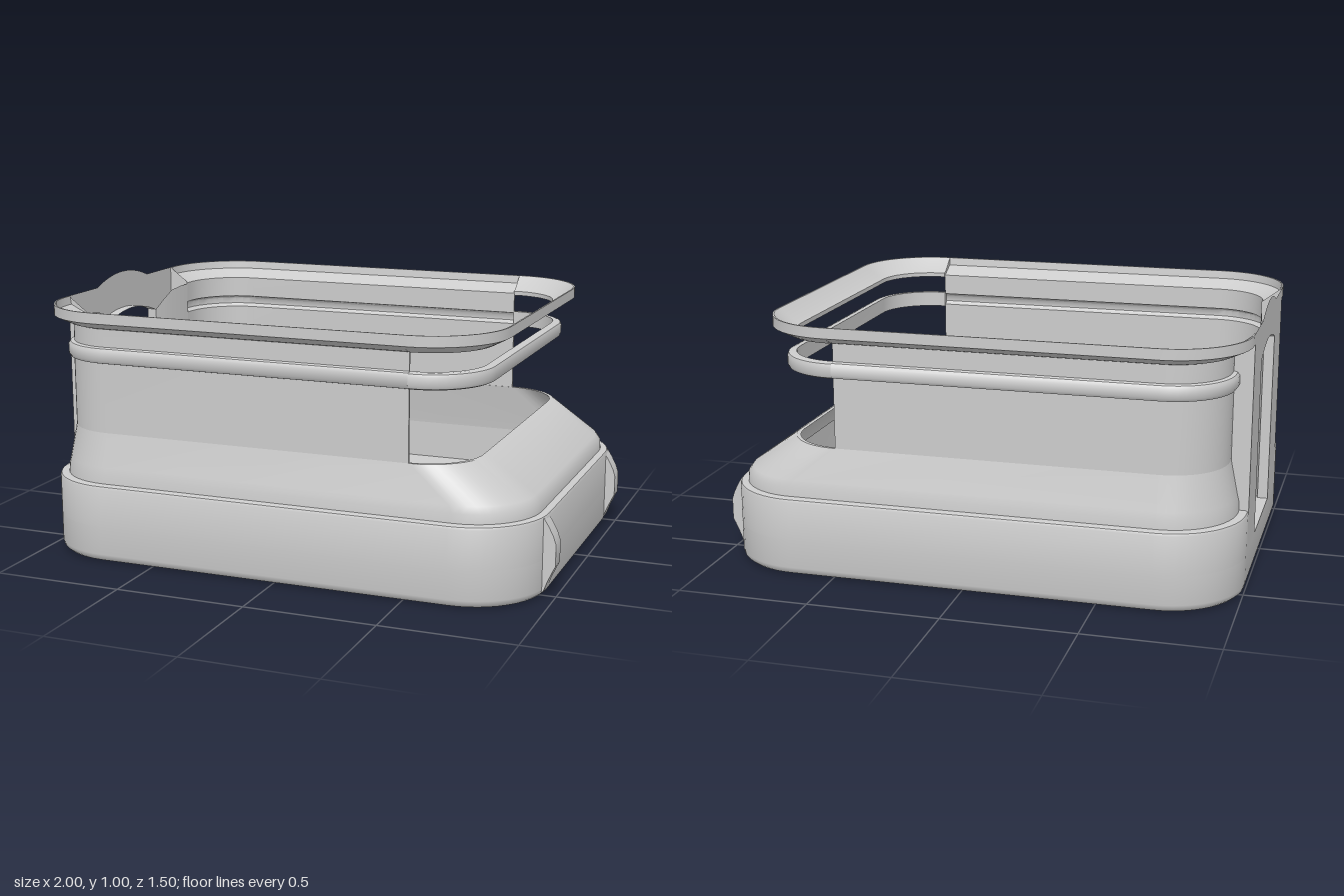
import * as THREE from 'three';
import { toCreasedNormals } from 'three/addons/utils/BufferGeometryUtils.js';

const GAP = 0.43; // half width of the flat back panel
const SPLIT = 0.5; // x where the side walls stop and the front opening begins
const material = new THREE.MeshStandardMaterial({ color: 0xcccccc, side: THREE.DoubleSide });

// Rounded outline inset by o, running from the back round by +z to -z.
// span: 'full' (open at the back panel), 'side' (+z, back to SPLIT) or 'front'.
function outline(o, x1, span) {
  const x0 = -1 + o, hz = 0.75 - o, r = 0.29 - o, n = 12;
  const pts = [];
  const arc = (cx, cz, from) => {
    for (let i = 0; i <= n; i++) {
      const a = from - (i / n) * Math.PI / 2;
      pts.push([cx + r * Math.cos(a), cz + r * Math.sin(a)]);
    }
  };
  if (span === 'front') pts.push([SPLIT, hz]);
  else {
    pts.push([x0, GAP]);
    arc(x0 + r, hz - r, Math.PI);
  }
  if (span === 'side') {
    pts.push([SPLIT, hz]);
    return pts;
  }
  arc(x1 - r, hz - r, Math.PI / 2);
  arc(x1 - r, -hz + r, 0);
  if (span === 'front') pts.push([SPLIT, -hz]);
  else {
    arc(x0 + r, -hz + r, -Math.PI / 2);
    pts.push([x0, -GAP]);
  }
  return pts;
}

// Sweeps a closed profile of [inset, y, frontX] points along the outline.
function sweep(profile, span, { mirror = false, closed = false } = {}) {
  const rails = profile.map(([o, , x1]) => {
    const p = outline(o, x1, span);
    return mirror ? p.map(([x, z]) => [x, -z]).reverse() : p;
  });
  const m = profile.length, n = rails[0].length;
  const pos = [], idx = [];
  for (let i = 0; i < n; i++)
    for (let j = 0; j < m; j++) pos.push(rails[j][i][0], profile[j][1], rails[j][i][1]);
  for (let i = 0; i < (closed ? n : n - 1); i++)
    for (let j = 0; j < m; j++) {
      const i2 = (i + 1) % n, k = (j + 1) % m;
      const a = i * m + j, b = i * m + k, c = i2 * m + j, d = i2 * m + k;
      idx.push(a, c, d, a, d, b);
    }
  if (!closed) {
    const contour = profile.map(([o, y]) => new THREE.Vector2(-o, y));
    const e = (n - 1) * m;
    for (const [a, b, c] of THREE.ShapeUtils.triangulateShape(contour, []))
      idx.push(a, b, c, e + a, e + c, e + b);
  }
  return finish(pos, idx);
}

// Thin sheet between two rails of [x, y, z] points.
function strip(a, b) {
  const idx = [];
  for (let i = 0; i < a.length - 1; i++) {
    const j = i + a.length;
    idx.push(i, i + 1, j + 1, i, j + 1, j);
  }
  return finish([...a, ...b].flat(), idx);
}

function finish(pos, idx) {
  const g = new THREE.BufferGeometry();
  g.setAttribute('position', new THREE.Float32BufferAttribute(pos, 3));
  g.setIndex(idx);
  return toCreasedNormals(g, 0.65);
}

export function createModel() {
  const group = new THREE.Group();
  const add = (name, geometry) => {
    const mesh = new THREE.Mesh(geometry, material);
    mesh.name = name;
    group.add(mesh);
  };

  // Pan with a rounded lower edge, filled by a thick floor
  add('pan', sweep([
    [0.03, 0, 0.93], [0.015, 0.004, 0.945], [0.004, 0.014, 0.956], [0, 0.03, 0.96],
    [0, 0.14, 0.96], [0.03, 0.14, 0.93],
  ], 'full', { closed: true }));
  const floorShape = new THREE.Shape(outline(0.03, 0.93, 'full').map(([x, z]) => new THREE.Vector2(x, -z)));
  const floor = new THREE.ExtrudeGeometry(floorShape, { depth: 0.14, bevelEnabled: false });
  floor.rotateX(-Math.PI / 2);
  add('floor', toCreasedNormals(floor, 0.5));

  // Upper part of the tub wall with a small ledge
  add('baseWall', sweep([
    [0, 0.14, 0.96], [0, 0.288, 0.96], [0.004, 0.297, 0.956], [0.012, 0.3, 0.948],
    [0.045, 0.3, 0.915], [0.045, 0.14, 0.915],
  ], 'full'));

  // Tapering shoulder with a long slope at the front
  add('shoulder', sweep([
    [0.034, 0.295, 0.93], [0.037, 0.335, 0.927], [0.043, 0.36, 0.908], [0.07, 0.49, 0.725],
    [0.082, 0.49, 0.71], [0.058, 0.35, 0.89], [0.05, 0.295, 0.905],
  ], 'full'));

  // Side walls: one thin skin bulging into the rail and flaring into the rim
  const skin = [
    [0.07, 0.485], [0.07, 0.757], [0.058, 0.76], [0.05, 0.772], [0.05, 0.805], [0.058, 0.816],
    [0.072, 0.82], [0.072, 0.888], [0.058, 0.892], [0, 0.92], [0, 0.96],
    [0.006, 0.96], [0.01, 0.928], [0.062, 0.902], [0.08, 0.895],
    [0.08, 0.812], [0.066, 0.808], [0.06, 0.8], [0.06, 0.777], [0.066, 0.77], [0.08, 0.765], [0.08, 0.485],
  ];
  add('leftWall', sweep(skin, 'side'));
  add('rightWall', sweep(skin, 'side', { mirror: true }));

  // Rail and rim bars bridging the front opening
  add('frontRail', sweep([
    [0.085, 0.757, 0.715], [0.066, 0.757, 0.734], [0.055, 0.762, 0.745], [0.05, 0.774, 0.75],
    [0.05, 0.803, 0.75], [0.055, 0.814, 0.745], [0.066, 0.818, 0.734], [0.085, 0.818, 0.715],
  ], 'front'));
  add('frontRim', sweep([
    [0.088, 0.888, 0.712], [0.058, 0.89, 0.742], [0, 0.92, 0.8], [0, 0.96, 0.8],
    [0.006, 0.96, 0.794], [0.07, 0.91, 0.73], [0.088, 0.905, 0.712],
  ], 'front'));

  // Thin back panel with an arched top and a doorway down to the floor
  const s = new THREE.Shape();
  s.moveTo(-GAP, 0.14);
  s.lineTo(-0.21, 0.14);
  s.lineTo(-0.21, 0.81);
  s.quadraticCurveTo(0, 0.89, 0.21, 0.81);
  s.lineTo(0.21, 0.14);
  s.lineTo(GAP, 0.14);
  s.lineTo(GAP, 0.96);
  s.lineTo(0.21, 0.96);
  s.quadraticCurveTo(0, 1.04, -0.21, 0.96);
  s.lineTo(-GAP, 0.96);
  const panel = new THREE.ShapeGeometry(s, 20);
  panel.rotateY(-Math.PI / 2);
  panel.translate(-1, 0, 0);
  add('backPanel', panel);

  // Underside of the doorway arch
  const arch = new THREE.QuadraticBezierCurve(
    new THREE.Vector2(-0.21, 0.81), new THREE.Vector2(0, 0.89), new THREE.Vector2(0.21, 0.81),
  ).getPoints(20);
  add('doorArch', strip(arch.map((p) => [-1, p.y, p.x]), arch.map((p) => [-0.96, p.y, p.x])));

  // Posts beside the doorway (cheek, curved lining, jamb) and the front latches
  const cheek = [[-1, 0.96, GAP], [-0.92, 0.9, GAP]];
  const lining = [[-0.92, 0.89, GAP], [-0.925, 0.89, 0.38], [-0.935, 0.88, 0.31], [-0.945, 0.85, 0.26], [-0.96, 0.81, 0.21]];
  const jamb = [[-0.96, 0.81, 0.21], [-1, 0.81, 0.21]];
  const latch = new THREE.Shape([
    [0.93, 0.02], [0.957, 0.02], [0.972, 0.06], [0.99, 0.1], [1, 0.12], [1, 0.2],
    [0.99, 0.23], [0.972, 0.265], [0.955, 0.292], [0.93, 0.292],
  ].map(([x, y]) => new THREE.Vector2(x, y)));
  for (const side of [1, -1]) {
    const name = side > 0 ? 'left' : 'right';
    const post = [...cheek, ...lining, ...jamb].map(([x, y, z]) => [x, y, z * side]);
    add(name + 'Post', strip(post, post.map(([x, , z]) => [x, 0.14, z])));
    const g = new THREE.ExtrudeGeometry(latch, { depth: 0.066, bevelEnabled: false });
    g.translate(0, 0, side * 0.49 - 0.033);
    add(name + 'Latch', toCreasedNormals(g, 0.5));
  }
  return group;
}
